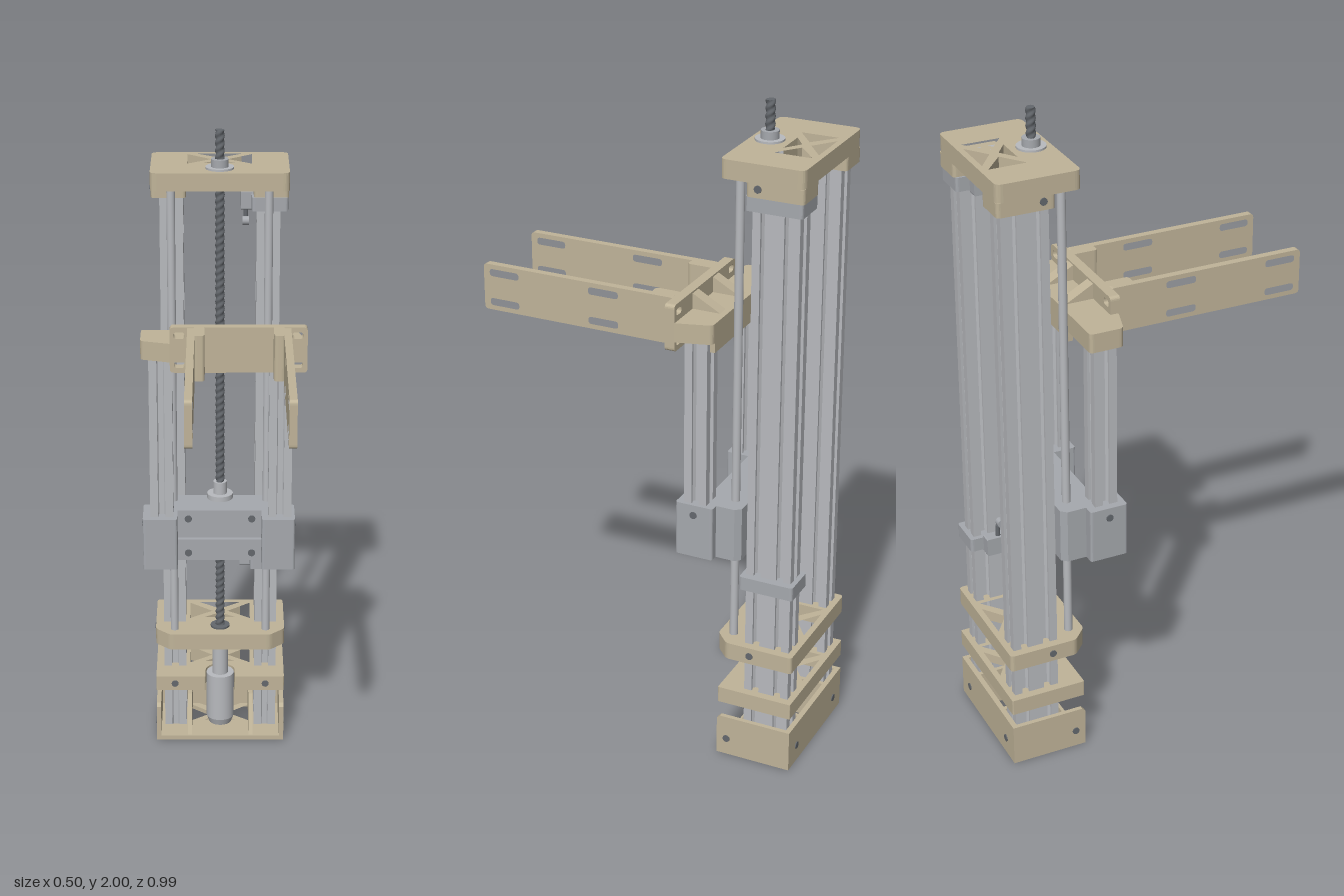
import * as THREE from 'three';

const material = (name, color) => {
  const m = new THREE.MeshStandardMaterial({ color });
  m.name = name;
  return m;
};

// Closed outline with optionally rounded corners
function trace(path, pts, r) {
  const n = pts.length;
  pts.forEach((p, i) => {
    const a = pts[(i + n - 1) % n], b = pts[(i + 1) % n];
    const toward = q => {
      const d = Math.hypot(q[0] - p[0], q[1] - p[1]);
      const t = Math.min(r / d, 0.5);
      return [p[0] + (q[0] - p[0]) * t, p[1] + (q[1] - p[1]) * t];
    };
    const s = r ? toward(a) : p;
    if (i) path.lineTo(...s); else path.moveTo(...s);
    if (r) path.quadraticCurveTo(...p, ...toward(b));
  });
  path.closePath();
  return path;
}

const rect = (u0, v0, u1, v1) => [[u0, v0], [u1, v0], [u1, v1], [u0, v1]];

// Outline extruded along an axis: 'y' uses (x,z), 'x' uses (z,y), 'z' uses (x,y)
function prism(axis, pts, from, to, r = 0, holes = [], holeR = 0) {
  const map = ([u, v]) => axis === 'y' ? [u, -v] : axis === 'x' ? [-u, v] : [u, v];
  const shape = trace(new THREE.Shape(), pts.map(map), r);
  for (const h of holes) shape.holes.push(trace(new THREE.Path(), h.map(map), holeR));
  const g = new THREE.ExtrudeGeometry(shape, { depth: to - from, bevelEnabled: false, curveSegments: 5 });
  g.translate(0, 0, from);
  if (axis === 'y') g.rotateX(-Math.PI / 2);
  if (axis === 'x') g.rotateY(Math.PI / 2);
  return g;
}

// Slotted aluminium bar, one cell wide (x) and several cells deep (z)
function slottedBar(cx, cz, cells, y0, y1) {
  const h = 0.035, half = h * cells, pts = [], bores = [];
  const side = (dx, dz, hw, count, off) => {
    pts.push([cx - dx * hw + dz * off, cz - dz * hw - dx * off]);
    for (let i = 0; i < count; i++) {
      const c = (i - (count - 1) / 2) * 2 * h;
      for (const [w, t] of [[-0.011, 0], [-0.011, 0.008], [-0.018, 0.008], [-0.008, 0.022],
        [0.008, 0.022], [0.018, 0.008], [0.011, 0.008], [0.011, 0]])
        pts.push([cx + dx * (c + w) + dz * (off - t), cz + dz * (c + w) - dx * (off - t)]);
    }
  };
  side(1, 0, h, 1, half);
  side(0, 1, half, cells, h);
  side(-1, 0, h, 1, half);
  side(0, -1, half, cells, h);
  for (let i = 0; i < cells; i++) {
    const z = cz + (i - (cells - 1) / 2) * 2 * h;
    bores.push(rect(cx - 0.006, z - 0.006, cx + 0.006, z + 0.006));
  }
  return prism('y', pts, y0, y1, 0, bores, 0.005);
}

export function createModel() {
  const model = new THREE.Group();
  const tan = material('tan plastic', 0xc0b499);
  const alu = material('aluminium', 0xb8babe);
  const grey = material('grey plastic', 0xa6a9ae);
  const dark = material('dark steel', 0x64686d);
  const add = (name, geo, mat) => {
    const m = new THREE.Mesh(geo, mat);
    m.name = name;
    model.add(m);
    return m;
  };
  const cx = -0.0125, sz = -0.305, postX = [-0.157, 0.132];
  const rod = (name, mat, x, z, y0, y1, r, r0 = r) => {
    const g = new THREE.CylinderGeometry(r, r0, y1 - y0, 28);
    return add(name, g.translate(x, (y0 + y1) / 2, z), mat);
  };
  const bolt = (axis, x, y, z, r = 0.011) => {
    const g = new THREE.CylinderGeometry(r, r, 0.006, 16);
    if (axis === 'x') g.rotateZ(Math.PI / 2);
    if (axis === 'z') g.rotateX(Math.PI / 2);
    add('bolt', g.translate(x, y, z), dark);
  };

  // Triangular lightening holes shared by all plates
  const truss = [
    [[-0.08, -0.476], [0.053, -0.476], [cx, -0.427]],
    [[-0.109, -0.47], [-0.109, -0.358], [-0.038, -0.411]],
    [[0.083, -0.47], [0.083, -0.358], [0.012, -0.411]],
    [[-0.062, -0.366], [0.036, -0.366], [cx, -0.4]],
  ];
  const X0 = -0.217, X1 = 0.192, Z0 = -0.494;

  // Posts and guide rods
  for (const x of postX) {
    add('post', slottedBar(x, -0.405, 2, 0.003, 1.832), alu);
    rod('guideRod', alu, x, -0.283, 0.335, 1.835, 0.0125);
  }

  // Base tray, open at the front
  add('baseFloor', prism('y', rect(X0, Z0, X1, -0.258), 0, 0.014, 0.012,
    [...truss, ...postX.map(x => rect(x - 0.033, -0.473, x + 0.033, -0.337))]), tan);
  add('baseBackWall', prism('z', rect(X0, 0, X1, 0.13), Z0, -0.478), tan);
  for (const x of [X0, X1 - 0.014])
    add('baseSideWall', prism('x', [[Z0, 0], [-0.258, 0], [-0.258, 0.12], [-0.268, 0.13], [Z0, 0.13]], x, x + 0.014), tan);
  for (const x of [-0.117, 0.079])
    add('baseRib', prism('x', [[-0.48, 0.01], [-0.265, 0.01], [-0.33, 0.13], [-0.48, 0.13]], x, x + 0.013), tan);

  // Middle plate, notched around the motor
  const notch = [];
  for (let i = 0; i <= 12; i++) {
    const a = Math.PI * i / 12;
    notch.push([cx + 0.047 * Math.cos(a), sz - 0.047 * Math.sin(a)]);
  }
  add('motorPlate', prism('y', [[X0, Z0], [X1, Z0], [X1, -0.26], [cx + 0.047, -0.26], ...notch,
    [cx - 0.047, -0.26], [X0, -0.26]], 0.18, 0.23, 0.004, truss), tan);

  // Upper plate of the motor bay
  add('screwPlate', prism('y', [[X0, Z0], [X1, Z0], [X1, -0.285], [0.145, -0.24], [-0.17, -0.24], [X0, -0.285]],
    0.337, 0.39, 0.012, truss), tan);
  rod('screwPlateBearing', dark, cx, sz, 0.388, 0.396, 0.03);

  // Top cap with post sockets
  add('topCap', prism('y', rect(X0, Z0, X1, -0.248), 1.83, 1.885, 0.02, truss), tan);
  for (const [a, b] of [[X0, -0.113], [0.088, X1]])
    add('topSocket', prism('y', rect(a, Z0, b, -0.325), 1.79, 1.832, 0.012), tan);
  rod('topBearing', alu, cx, sz, 1.884, 1.891, 0.042);
  rod('topCollar', grey, cx, sz, 1.885, 1.914, 0.026);

  // Motor and coupling
  rod('motor', alu, cx, sz, 0.07, 0.225, 0.044);
  rod('motorEnd', alu, cx, sz, 0.048, 0.07, 0.044, 0.036);
  rod('motorTerminal', dark, cx, sz, 0.035, 0.048, 0.012);
  rod('coupling', alu, cx, sz, 0.225, 0.338, 0.025);

  // Lead screw with a two-start thread
  const screw = new THREE.CylinderGeometry(0.013, 0.013, 1.62, 16, 300);
  const p = screw.attributes.position;
  for (let i = 0; i < p.count; i++) {
    const x = p.getX(i), z = p.getZ(i);
    const k = 1 + 0.13 * Math.cos(2 * Math.atan2(z, x) + p.getY(i) * 2 * Math.PI / 0.022);
    p.setXYZ(i, x * k, p.getY(i), z * k);
  }
  screw.computeVertexNormals();
  add('leadScrew', screw.translate(cx, 1.19, sz), dark);

  // Carriage
  for (const [a, b] of [[-0.248, -0.143], [0.115, 0.216]])
    add('carriageSocket', prism('y', rect(a, -0.247, b, -0.13), 0.67, 0.837, 0.008), grey);
  add('carriageBody', prism('y', [[-0.2, -0.322], [0.175, -0.322], [0.19, -0.305], [0.19, -0.24], [-0.215, -0.24], [-0.215, -0.305]],
    0.67, 0.837), grey);
  for (const [a, b] of [[0.67, 0.74], [0.766, 0.837]])
    add('carriageFace', prism('z', rect(-0.145, a, 0.117, b), -0.242, -0.2), grey);
  add('carriageGroove', prism('z', rect(-0.145, 0.735, 0.117, 0.77), -0.242, -0.215), grey);
  for (const x of [-0.11, 0.085]) for (const y of [0.695, 0.81]) bolt('z', x, y, -0.199);
  bolt('x', -0.248, 0.805, -0.187);
  bolt('x', 0.216, 0.805, -0.187);
  rod('screwNutFlange', alu, cx, sz, 0.835, 0.853, 0.04);
  rod('screwNut', alu, cx, sz, 0.853, 0.892, 0.021);

  // Uprights carrying the fork
  for (const x of [-0.19, 0.17]) add('upright', slottedBar(x, -0.187, 1, 0.668, 1.395), alu);

  // Fork head: shelf, front plate and sloped gussets
  add('forkShelf', prism('y', [[-0.248, -0.243], [0.215, -0.243], [0.244, -0.14], [0.244, -0.115], [-0.16, -0.115], [-0.248, -0.142]],
    1.35, 1.408, 0.012), tan);
  add('forkShelfBackLip', prism('z', rect(-0.1, 1.32, 0.2, 1.4), -0.243, -0.228), tan);
  const plateSlots = [];
  for (const y of [1.345, 1.435])
    for (const x of [-0.148, 0.2]) plateSlots.push(rect(x, y - 0.01, x + 0.032, y + 0.01));
  add('forkPlate', prism('z', rect(-0.16, 1.32, 0.245, 1.46), -0.14, -0.11, 0.012, plateSlots, 0.009), tan);
  for (const [a, b] of [[-0.046, -0.008], [0.09, 0.128]])
    add('forkGusset', prism('x', [[-0.24, 1.36], [-0.13, 1.36], [-0.13, 1.46], [-0.24, 1.4]], a, b), tan);

  // Fork arms with adjustment slots
  const armSlots = [];
  for (const z of [0.06, 0.38])
    for (const y of [1.345, 1.435]) armSlots.push(rect(z, y - 0.011, z + 0.095, y + 0.011));
  for (const [a, b, c, d] of [[-0.108, -0.086, -0.09, -0.057], [0.174, 0.196, 0.145, 0.178]]) {
    add('forkArm', prism('x', rect(-0.115, 1.32, 0.494, 1.46), a, b, 0.012, armSlots, 0.01), tan);
    add('forkArmRoot', prism('y', rect(c, -0.115, d, -0.036), 1.32, 1.46, 0.012), tan);
  }

  // Limit switches clamped to the left post; dir points the plunger at the carriage
  for (const [y, dir] of [[1.77, -1], [0.602, 1]]) {
    add('switchClamp', prism('y', rect(0.082, -0.49, 0.19, -0.322), y - 0.021, y + 0.021, 0.01), grey);
    add('switchBody', prism('x', rect(-0.45, y - 0.028, -0.37, y + 0.028), 0.05, 0.084, 0.004), grey);
    rod('switchPlunger', dark, 0.065, -0.41, y + dir * 0.045 - 0.018, y + dir * 0.045 + 0.018, 0.007);
    const roller = new THREE.CylinderGeometry(0.013, 0.013, 0.02, 16).rotateZ(Math.PI / 2);
    add('switchRoller', roller.translate(0.065, y + dir * 0.07, -0.4), grey);
  }

  // Clamping bolts
  for (const x of postX) {
    bolt('z', x, 0.205, -0.26);
    bolt('z', x, 0.055, Z0);
  }
  for (const x of [X0, X1])
    for (const [y, z] of [[0.055, -0.29], [0.363, -0.36], [1.815, -0.36]]) bolt('x', x, y, z);
  return model;
}
